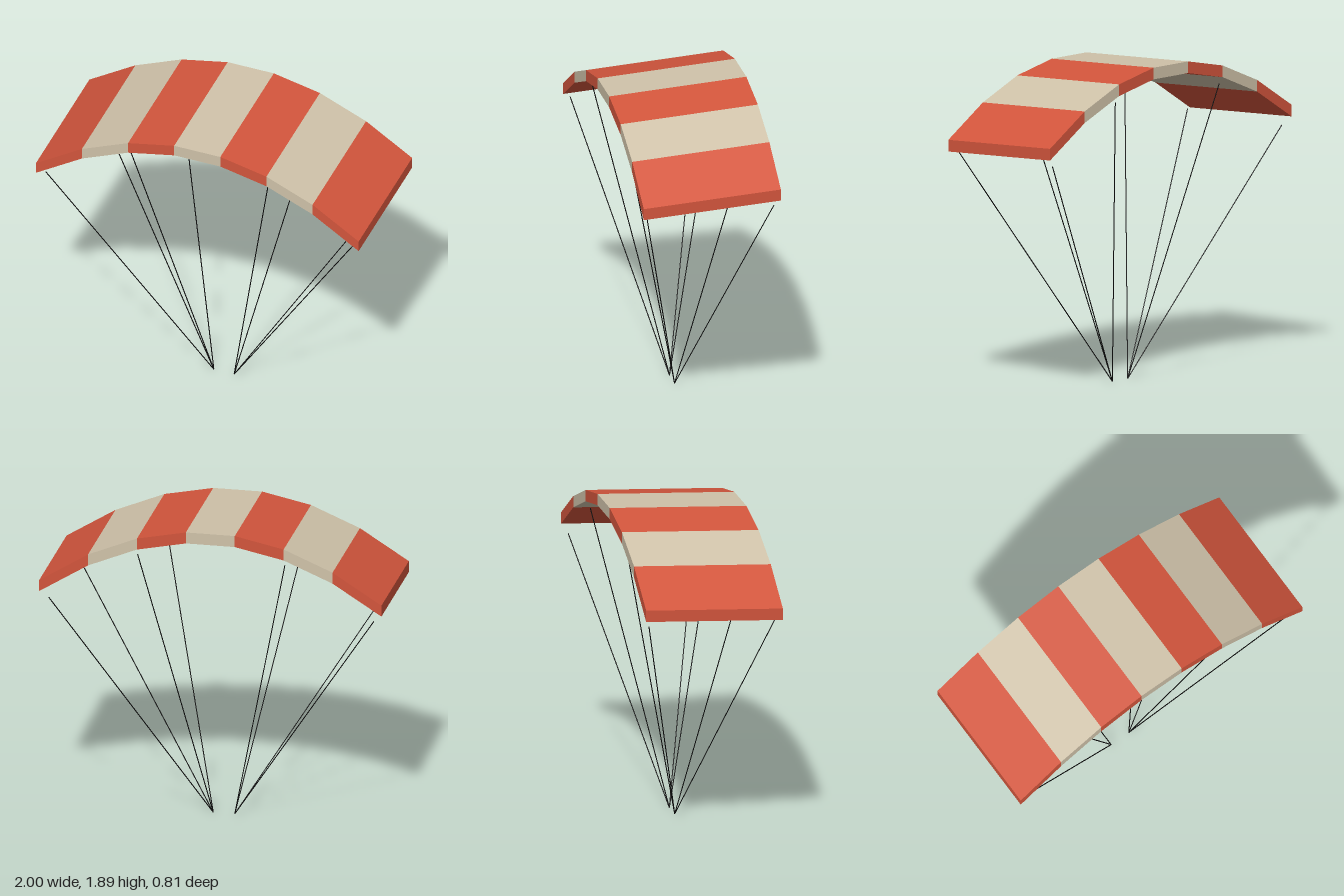
import * as THREE from 'three';

const red = new THREE.MeshStandardMaterial({ name: 'red fabric', color: 0xd2553c });
const cream = new THREE.MeshStandardMaterial({ name: 'cream fabric', color: 0xcfc2a9 });
const black = new THREE.MeshStandardMaterial({ name: 'black cord', color: 0x0c0c0c });

const PANELS = 7, HALF_DEPTH = 0.404, THICKNESS = 0.068;

// underside height: arched across the span, front edge lower than the back
const underside = (x, z) => 1.802 - 0.37 * x * x - 0.058 * z;

// one fabric cell, a box bent onto the arch; walls shared by cells are left out
function cellGeometry(i) {
  const geo = new THREE.BoxGeometry(1, 1, 1);
  const index = Array.from(geo.index.array);
  const keepLeft = i === PANELS - 1, keepRight = i === 0;
  geo.setIndex(index.filter((_, k) => k >= 12 || (k < 6 ? keepLeft : keepRight)));
  geo.clearGroups();
  const p = geo.attributes.position;
  for (let k = 0; k < p.count; k++) {
    const x = -1 + (2 * (i + 0.5 + p.getX(k))) / PANELS;
    const z = p.getZ(k) * 2 * HALF_DEPTH;
    p.setXYZ(k, x, underside(x, z) + (p.getY(k) + 0.5) * THICKNESS, z);
  }
  const flat = geo.toNonIndexed();
  flat.computeVertexNormals();
  return flat;
}

// thin straight cord between two points
function cord(from, to) {
  const dir = to.clone().sub(from);
  const mesh = new THREE.Mesh(new THREE.CylinderGeometry(0.003, 0.003, dir.length(), 6), black);
  mesh.position.copy(from).add(to).multiplyScalar(0.5);
  mesh.quaternion.setFromUnitVectors(new THREE.Vector3(0, 1, 0), dir.normalize());
  return mesh;
}

export function createModel() {
  const model = new THREE.Group();
  model.name = 'parachute';

  // arched canopy with alternating stripes
  const canopy = new THREE.Group();
  canopy.name = 'canopy';
  for (let i = 0; i < PANELS; i++) {
    const cell = new THREE.Mesh(cellGeometry(i), i % 2 ? cream : red);
    cell.name = `canopyPanel${i + 1}`;
    canopy.add(cell);
  }
  model.add(canopy);

  // four cords per side, meeting at one point
  for (const side of [-1, 1]) {
    const lines = new THREE.Group();
    lines.name = side > 0 ? 'leftLines' : 'rightLines';
    const handle = new THREE.Vector3(side * 0.063, 0, 0);
    for (const [name, x, y] of [['outer', 0.95, 1.41], ['inner', 0.43, 1.715]]) {
      for (const end of [-1, 1]) {
        const line = cord(handle, new THREE.Vector3(side * x, y, end * 0.375));
        line.name = name + (end > 0 ? 'FrontLine' : 'BackLine');
        lines.add(line);
      }
    }
    model.add(lines);
  }
  return model;
}
